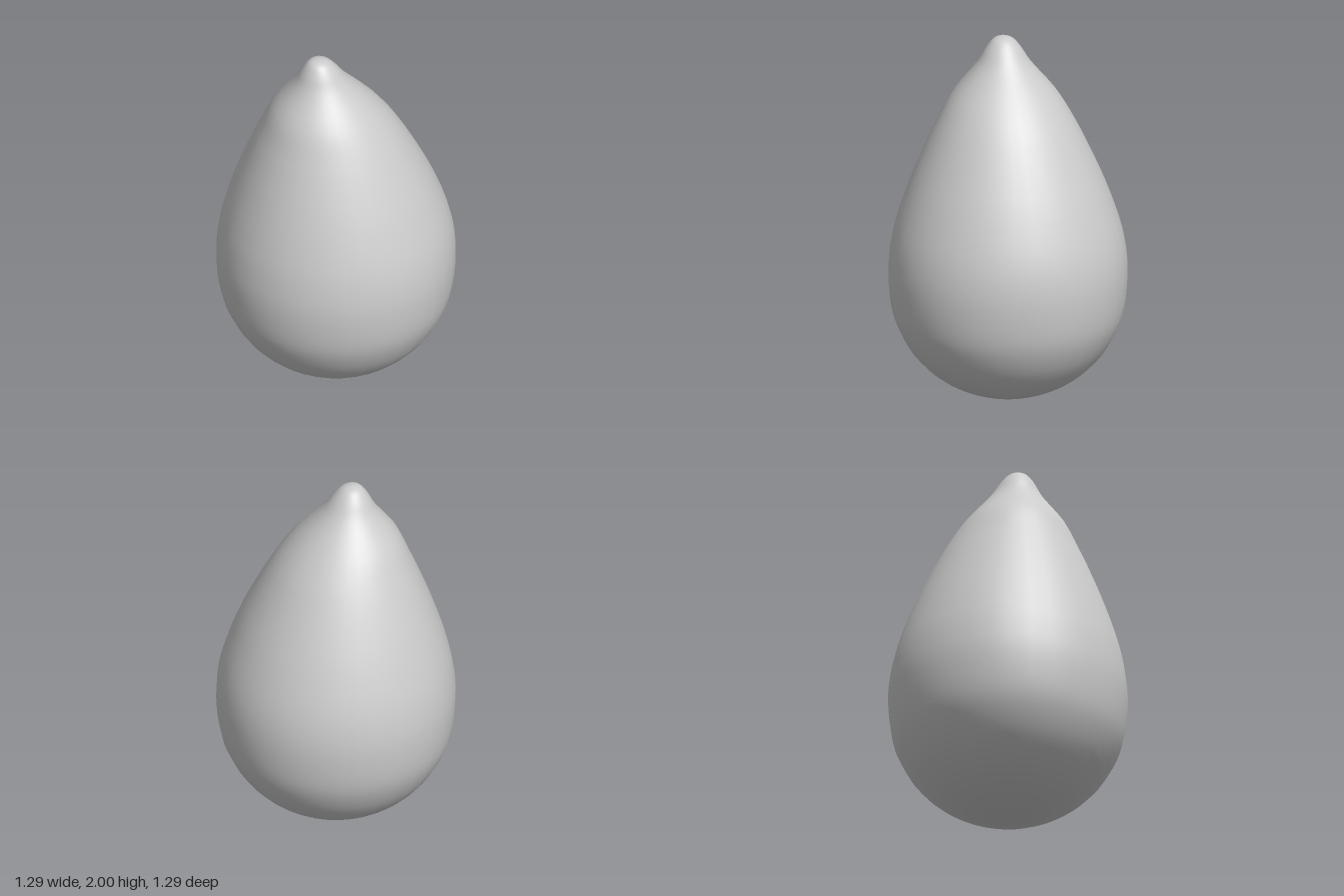
import * as THREE from 'three';

// Height, radius and sideways drift of the centre line, from base to tip
const sections = [
  [0.005, 0, 0], [0.015, 0.13, 0], [0.065, 0.28, 0], [0.145, 0.41, 0], [0.26, 0.52, 0],
  [0.4, 0.597, 0], [0.53, 0.632, 0], [0.7, 0.645, 0], [0.85, 0.632, 0], [1.0, 0.597, -0.005],
  [1.2, 0.527, -0.015], [1.4, 0.44, -0.03], [1.56, 0.36, -0.045], [1.7, 0.275, -0.07],
  [1.85, 0.15, -0.085], [1.93, 0.1, -0.095], [1.98, 0.06, -0.1], [1.997, 0.025, -0.105], [2, 0, -0.105],
];

// Centre line offset at a given height
function drift(y) {
  for (let i = 1; i < sections.length; i++) {
    const [y0, , d0] = sections[i - 1];
    const [y1, , d1] = sections[i];
    if (y <= y1) return THREE.MathUtils.mapLinear(y, y0, y1, d0, d1);
  }
  return sections[sections.length - 1][2];
}

export function createModel() {
  const group = new THREE.Group();
  group.name = 'teardrop';

  // Round teardrop profile, turned about the vertical axis
  const curve = new THREE.SplineCurve(sections.map(([y, r]) => new THREE.Vector2(r, y)));
  const profile = curve.getPoints(54).map((p) => new THREE.Vector2(Math.max(p.x, 0), THREE.MathUtils.clamp(p.y, 0, 2)));
  const geometry = new THREE.LatheGeometry(profile, 36);

  // Lean the tip to one side
  const pos = geometry.attributes.position;
  const normal = geometry.attributes.normal;
  for (let i = 0; i < pos.count; i++) {
    const y = pos.getY(i);
    const slope = (drift(y + 0.05) - drift(y - 0.05)) / 0.1;
    pos.setX(i, pos.getX(i) + drift(y));
    const n = new THREE.Vector3().fromBufferAttribute(normal, i);
    n.y -= slope * n.x;
    n.normalize();
    normal.setXYZ(i, n.x, n.y, n.z);
  }

  const body = new THREE.Mesh(geometry, new THREE.MeshStandardMaterial({ color: 0xcccccc }));
  body.name = 'dropBody';
  group.add(body);
  return group;
}
